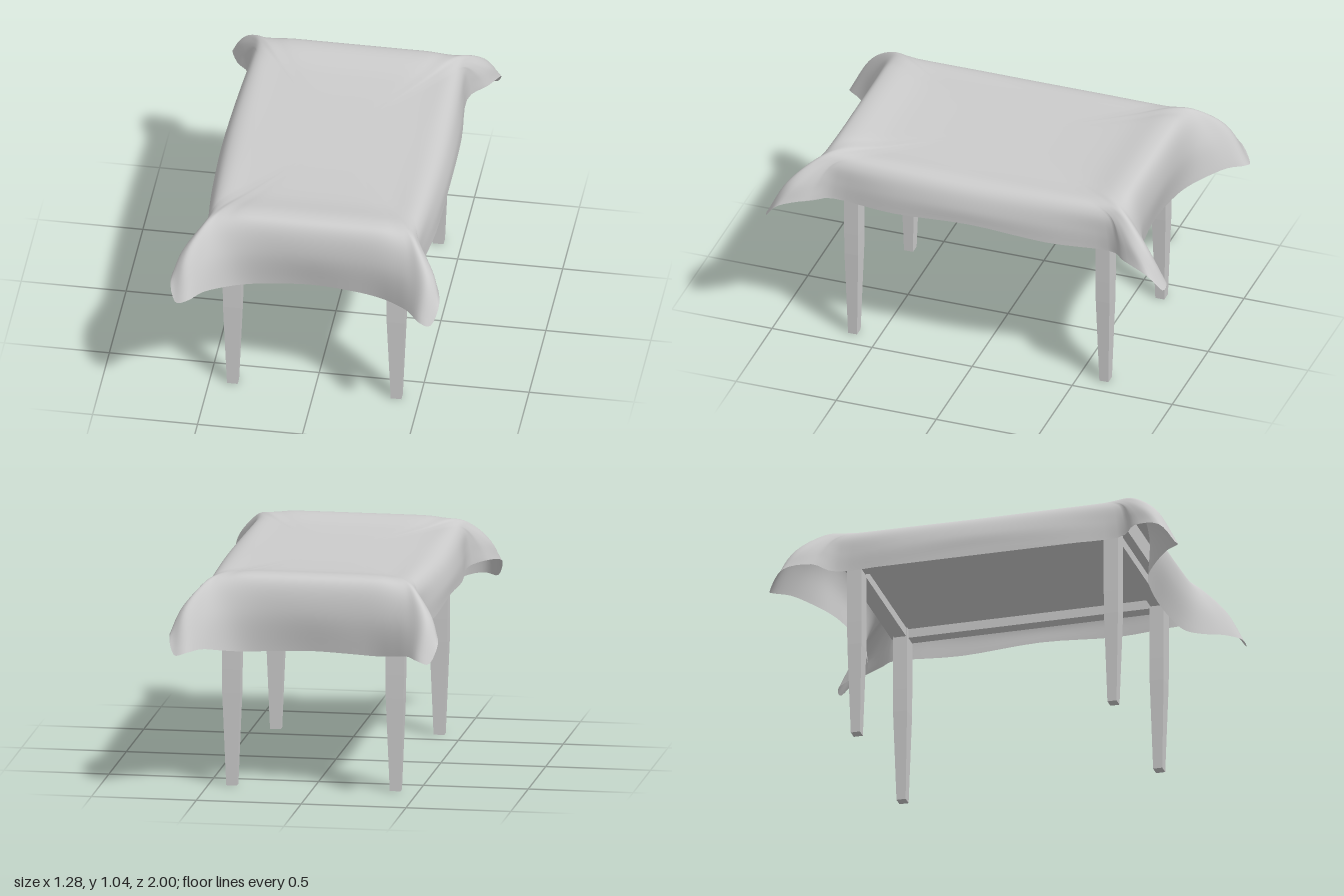
import * as THREE from 'three';

const grey = new THREE.MeshStandardMaterial({ color: 0xcccccc });
const clothMat = new THREE.MeshStandardMaterial({ color: 0xcccccc, side: THREE.DoubleSide });

// Quarter outlines of the cloth, from the middle of the front to the middle of the left side
const rim = [
  [0, 1.038, .675], [.2, 1.038, .675], [.32, 1.036, .675], [.38, 1.03, .675], [.42, 1.028, .675], [.435, 1.026, .67],
  [.445, 1.02, .655], [.45, 1.016, .63], [.452, 1.012, .59], [.455, 1.01, .54], [.455, 1.008, .32], [.455, 1.005, 0]];
const shoulder = [
  [0, 1, .748], [.2, 1, .748], [.32, 1, .75], [.41, .99, .758], [.465, .985, .768], [.5, .988, .778],
  [.512, .988, .765], [.512, .98, .735], [.505, .975, .7], [.5, .97, .65], [.51, .97, .35], [.515, .97, 0]];
const fold = [
  [0, .86, .77], [.2, .86, .772], [.32, .86, .785], [.41, .86, .812], [.485, .86, .855], [.55, .87, .898],
  [.585, .88, .89], [.598, .885, .84], [.565, .885, .765], [.512, .885, .675], [.535, .885, .37], [.546, .89, 0]];
const hem = [
  [0, .68, .736], [.2, .675, .75], [.32, .675, .778], [.41, .69, .838], [.49, .71, .918], [.55, .705, .988],
  [.61, .695, .99], [.64, .78, .92], [.597, .81, .79], [.515, .795, .685], [.538, .79, .38], [.548, .815, 0]];

// Mirror a quarter outline into a closed smooth ring
function ring(quarter) {
  const flip = (list, sx, sz) => list.map(([x, y, z]) => new THREE.Vector3(x * sx, y, z * sz));
  const back = [...quarter].reverse();
  return new THREE.CatmullRomCurve3([
    ...flip(quarter, 1, 1), ...flip(back.slice(1), 1, -1),
    ...flip(quarter.slice(1), -1, -1), ...flip(back.slice(1, -1), -1, 1),
  ], true, 'catmullrom', 0.5);
}

function clothGeometry() {
  const inner = s => rim.map(([x, y, z]) => [x * s, 1.008 + (y - 1.008) * s ** 4, z * s]);
  const rings = [inner(.02), inner(.4), inner(.75), rim, shoulder, fold, hem].map(ring);
  const cols = 176, rows = 36, pos = [], idx = [];
  for (let j = 0; j < cols; j++) {
    const column = new THREE.CatmullRomCurve3(rings.map(r => r.getPoint(j / cols)), false, 'catmullrom', 0.5);
    for (let i = 0; i <= rows; i++) pos.push(...column.getPoint(i / rows).toArray());
  }
  const centre = pos.length / 3;
  pos.push(0, 1.008, 0);
  const at = (i, j) => (j % cols) * (rows + 1) + i;
  for (let j = 0; j < cols; j++) {
    idx.push(centre, at(0, j), at(0, j + 1));
    for (let i = 0; i < rows; i++) {
      const a = at(i, j), b = at(i + 1, j), c = at(i + 1, j + 1), d = at(i, j + 1);
      idx.push(a, b, c, a, c, d);
    }
  }
  const g = new THREE.BufferGeometry();
  g.setAttribute('position', new THREE.Float32BufferAttribute(pos, 3));
  g.setIndex(idx);
  g.computeVertexNormals();
  return g;
}

// Square leg, straight above and tapered towards the foot
function legGeometry(height) {
  let g = new THREE.BoxGeometry(.088, height, .07, 1, 8, 1);
  g.translate(0, height / 2, 0);
  const p = g.attributes.position;
  for (let i = 0; i < p.count; i++) {
    const t = 1 - Math.min(p.getY(i) / .48, 1);
    p.setX(i, p.getX(i) * (1 - .42 * t));
    p.setZ(i, p.getZ(i) * (1 - .36 * t));
  }
  g = g.toNonIndexed();
  g.computeVertexNormals();
  return g;
}

export function createModel() {
  const group = new THREE.Group();
  const add = (name, geometry, x, y, z, material = grey) => {
    const mesh = new THREE.Mesh(geometry, material);
    mesh.name = name;
    mesh.position.set(x, y, z);
    group.add(mesh);
  };

  add('tablecloth', clothGeometry(), 0, 0, 0, clothMat);
  add('tableTop', new THREE.BoxGeometry(.92, .1, 1.4), 0, .93, 0);

  // Thick, low apron rails flush with the legs
  const leg = legGeometry(.9);
  for (const s of [-1, 1]) {
    add('sideApron', new THREE.BoxGeometry(.065, .05, 1.2), s * .4, .86, 0);
    add('endApron', new THREE.BoxGeometry(.72, .05, .06), 0, .86, s * .628);
    for (const t of [-1, 1]) add('leg', leg, s * .39, 0, t * .628);
  }
  return group;
}
